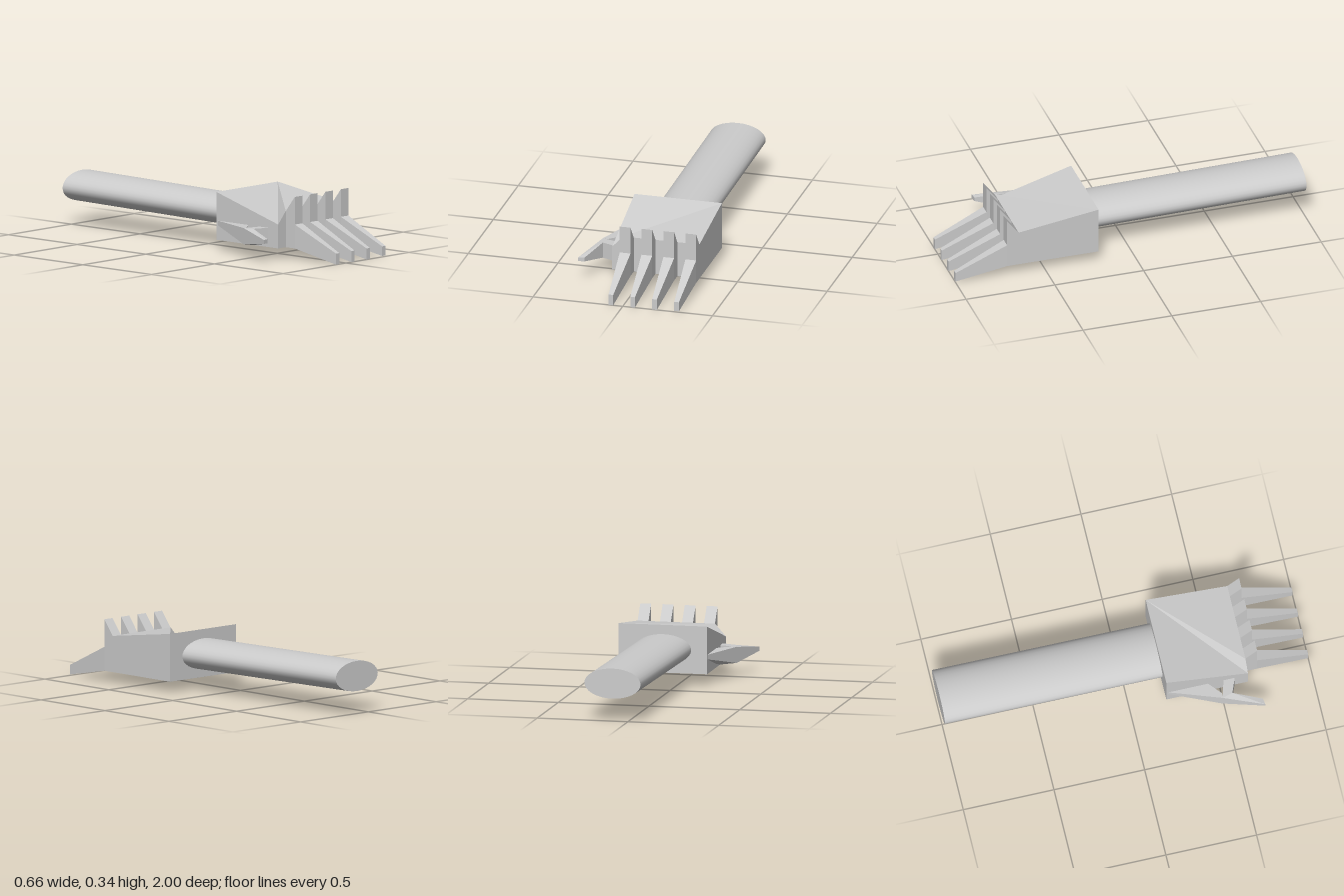
import * as THREE from 'three';
import { ConvexGeometry } from 'three/addons/geometries/ConvexGeometry.js';

const flat = new THREE.MeshStandardMaterial({ color: 0xcccccc, flatShading: true, side: THREE.DoubleSide });
const smooth = new THREE.MeshStandardMaterial({ color: 0xcccccc });

function add(parent, name, geometry, material = flat) {
  const mesh = new THREE.Mesh(geometry, material);
  mesh.name = name;
  parent.add(mesh);
  return mesh;
}

// Convex block from a list of corners
const hull = (corners) => new ConvexGeometry(corners.map((c) => new THREE.Vector3(...c)));

// Block from plan points [x, z, bottom, top]
const slab = (points) => hull(points.flatMap(([x, z, y0, y1]) => [[x, y0, z], [x, y1, z]]));

// Sloping block with a dipped front corner beside the thumb
function palmGeometry() {
  const L = 0.33, R = -0.157, B = 0.2, F = 0.65, Y = 0.06;
  const corners = [
    [L, 0.32, B], [R, 0.32, B], [R, 0.19, F], [-0.097, 0.257, F], [L, 0.257, F],
    [L, Y, B], [R, Y, B], [R, Y, F], [L, Y, F],
  ];
  const geometry = new THREE.BufferGeometry();
  geometry.setAttribute('position', new THREE.Float32BufferAttribute(corners.flat(), 3));
  geometry.setIndex([
    0, 1, 2, 0, 2, 3, 0, 3, 4, // top
    0, 5, 6, 0, 6, 1, // back
    7, 8, 4, 7, 4, 3, 7, 3, 2, // front
    1, 6, 7, 1, 7, 2, // thumb side
    4, 8, 5, 4, 5, 0, // outer side
    6, 5, 8, 6, 8, 7, // bottom
  ]);
  const faceted = geometry.toNonIndexed();
  faceted.computeVertexNormals();
  return faceted;
}

export function createModel() {
  const model = new THREE.Group();
  model.name = 'hand';

  add(model, 'palm', palmGeometry());

  // Forearm: an oval rod rising slightly towards the back
  const arm = new THREE.CylinderGeometry(1, 1, 1, 32);
  arm.rotateX(Math.PI / 2);
  arm.scale(0.155, 0.082, 1.2);
  const forearm = add(model, 'forearm', arm, smooth);
  forearm.position.set(0.085, 0.196, -0.4);
  forearm.rotation.x = 0.014;

  // Four fingers: knuckle wedge and tapering tip
  [-0.066, 0.055, 0.177, 0.3].forEach((x, i) => {
    const finger = new THREE.Group();
    finger.name = `finger${i + 1}`;
    finger.position.x = x;
    const lift = i === 3 ? 0.005 : 0;
    const knuckle = [], tip = [];
    for (const side of [-1, 1]) {
      const w = 0.03 * side, t = 0.013 * side;
      knuckle.push([w, 0.06, 0.65], [w, 0.257, 0.65], [w, 0.34, 0.715], [w, 0.06, 0.715]);
      tip.push([w, 0.06, 0.715], [w, 0.19, 0.715], [t, lift, 1], [t, 0.06 - lift / 2, 1]);
    }
    add(finger, 'knuckle', hull(knuckle));
    add(finger, 'fingertip', hull(tip));
    model.add(finger);
  });

  // Thumb: rear web, bridge to the palm and tapering tip
  const thumb = new THREE.Group();
  thumb.name = 'thumb';
  const low = 0.077, high = 0.165;
  add(thumb, 'thumbWeb', slab([
    [-0.157, 0.21, 0.14, high], [-0.157, 0.43, low, high], [-0.18, 0.42, low, high],
    [-0.227, 0.49, low, high], [-0.254, 0.487, low, high],
  ]));
  add(thumb, 'thumbBridge', slab([
    [-0.254, 0.487, low, high], [-0.157, 0.515, low, high],
    [-0.157, 0.577, low, high], [-0.238, 0.545, low, high],
  ]));
  add(thumb, 'thumbTip', slab([
    [-0.254, 0.487, low, high], [-0.238, 0.545, low, high],
    [-0.296, 0.7, 0.11, 0.132], [-0.33, 0.705, 0.11, 0.132],
  ]));
  model.add(thumb);

  return model;
}
